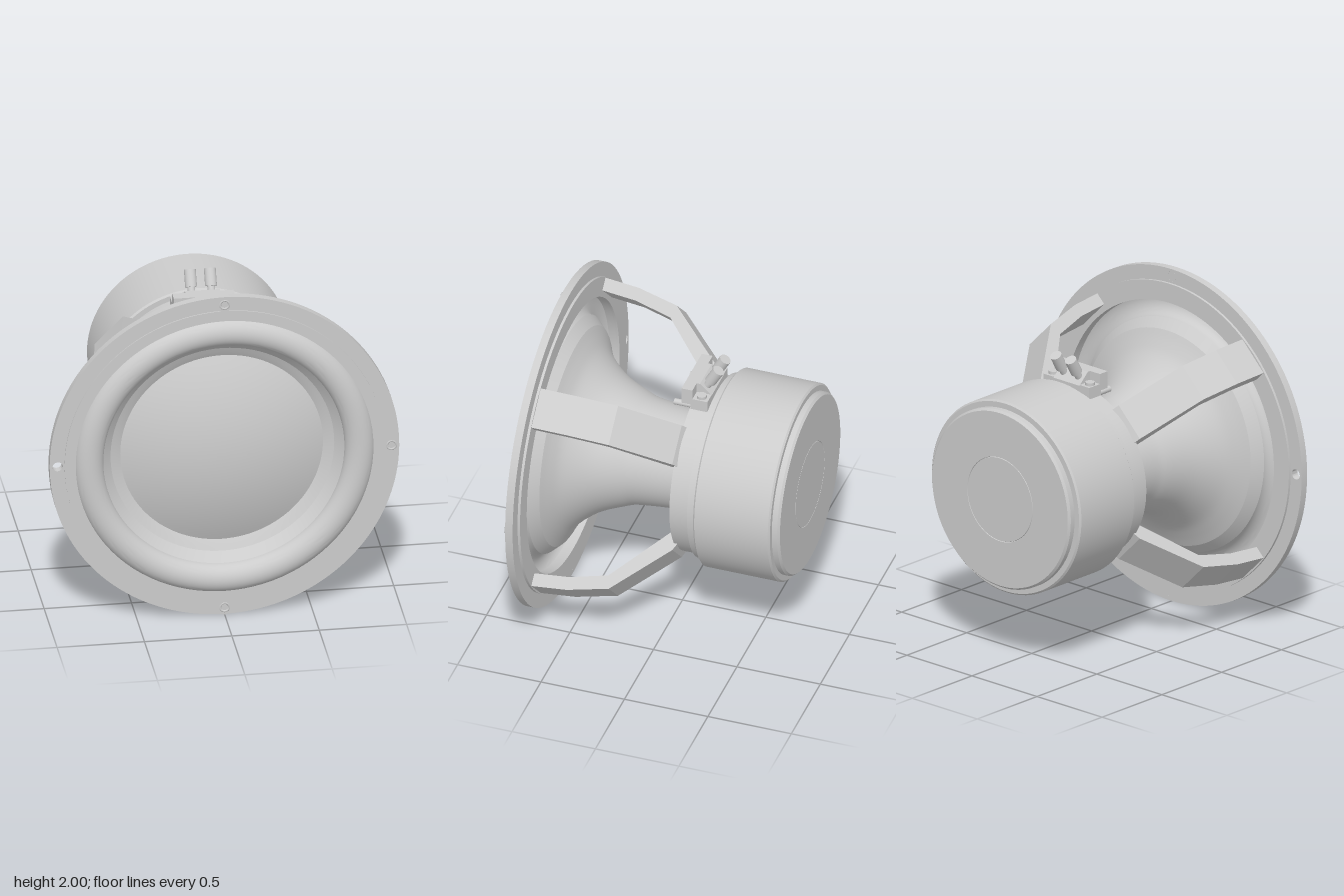
import * as THREE from 'three';
import { toCreasedNormals } from 'three/addons/utils/BufferGeometryUtils.js';

const grey = new THREE.MeshStandardMaterial({ color: 0xcccccc });
const greyThin = new THREE.MeshStandardMaterial({ color: 0xcccccc, side: THREE.DoubleSide });

export function createModel() {
  const model = new THREE.Group();
  model.name = 'speakerDriver';
  const body = new THREE.Group(); // the driver's axis runs along z
  body.name = 'driver';
  body.position.y = 1;
  model.add(body);

  const add = (name, geometry, material = grey) => {
    const mesh = new THREE.Mesh(geometry, material);
    mesh.name = name;
    body.add(mesh);
    return mesh;
  };
  // Turned part from [radius, z] points, listed from back to front
  const turned = (name, points, material) => {
    const g = new THREE.LatheGeometry(points.map(([r, z]) => new THREE.Vector2(r, z)), 96);
    g.rotateX(Math.PI / 2);
    return add(name, toCreasedNormals(g, 0.5), material);
  };
  // Closed ring with a rectangular section
  const ring = (name, r0, r1, z0, z1) =>
    turned(name, [[r0, z0], [r1, z0], [r1, z1], [r0, z1], [r0, z0]]);
  // Solid extruded along x from a [z, y] outline
  const sideways = (name, outline, width) => {
    const shape = new THREE.Shape(outline.map(([z, y]) => new THREE.Vector2(-z, y)));
    const g = new THREE.ExtrudeGeometry(shape, { depth: width, bevelEnabled: false });
    g.translate(0, 0, -width / 2).rotateY(Math.PI / 2);
    return add(name, g);
  };

  // Mounting flange with four bolt holes
  const flangeShape = new THREE.Shape().absarc(0, 0, 1, 0, Math.PI * 2);
  flangeShape.holes.push(new THREE.Path().absarc(0, 0, 0.8, 0, Math.PI * 2, true));
  for (let i = 0; i < 4; i++) {
    const a = i * Math.PI / 2;
    flangeShape.holes.push(new THREE.Path()
      .absarc(0.955 * Math.cos(a), 0.955 * Math.sin(a), 0.03, 0, Math.PI * 2, true));
  }
  const flange = new THREE.ExtrudeGeometry(flangeShape, { depth: 0.045, bevelEnabled: false, curveSegments: 64 });
  add('flange', toCreasedNormals(flange.translate(0, 0, 0.67), 0.5));
  ring('flangeRearRing', 0.8, 0.915, 0.655, 0.672);
  ring('gasket', 0.84, 0.915, 0.71, 0.722);

  // Bolts in three holes, the fourth (-x) stays open
  for (const a of [0, Math.PI / 2, -Math.PI / 2]) {
    const x = 0.955 * Math.cos(a), y = 0.955 * Math.sin(a);
    const shank = new THREE.CylinderGeometry(0.03, 0.03, 0.05, 20).rotateX(Math.PI / 2);
    add('bolt', shank).position.set(x, y, 0.695);
    const rim = new THREE.TorusGeometry(0.026, 0.007, 8, 20);
    add('boltRim', rim).position.set(x, y, 0.719);
  }
  for (let i = 0; i < 4; i++) {
    const a = i * Math.PI / 2;
    const lip = new THREE.RingGeometry(0.03, 0.045, 28);
    add('boltHoleLip', lip).position.set(0.955 * Math.cos(a), 0.955 * Math.sin(a), 0.7235);
  }

  // Half-roll surround
  const roll = [];
  for (let i = 0; i <= 24; i++) {
    const t = i / 24 * Math.PI;
    roll.push([0.775 + 0.085 * Math.cos(t), 0.69 + 0.075 * Math.sin(t)]);
  }
  turned('surround', roll, greyThin);

  // Flared cone, its neck and the domed dust cap
  const flare = new THREE.SplineCurve([[0.29, -0.06], [0.292, 0.02], [0.31, 0.2], [0.335, 0.28],
    [0.385, 0.4], [0.44, 0.485], [0.51, 0.56], [0.58, 0.605], [0.64, 0.635]]
    .map(p => new THREE.Vector2(...p)));
  turned('cone', flare.getPoints(32).map(p => [p.x, p.y]), greyThin);
  turned('coneEdge', [[0.64, 0.635], [0.692, 0.69]], greyThin);
  turned('coneNeck', [[0, -0.11], [0.265, -0.11], [0.265, -0.04], [0.29, -0.04], [0.29, -0.03]], greyThin);
  const dome = [];
  for (let i = 0; i <= 20; i++) {
    const r = 0.58 * (1 - i / 20);
    dome.push([r, 0.605 + 0.125 * (1 - (r / 0.58) ** 2)]);
  }
  turned('dustCap', dome, greyThin);

  // Four bent basket legs on the diagonals
  const legProfile = [[0.905, 0.67], [0.885, 0.45], [0.83, 0.21], [0.54, -0.1], [0.5, -0.12],
    [0.4, -0.12], [0.43, -0.08], [0.755, 0.23], [0.81, 0.45], [0.83, 0.67]];
  const legWidth = 0.23;
  for (let i = 0; i < 4; i++) {
    const shape = new THREE.Shape(legProfile.map(p => new THREE.Vector2(...p)));
    const g = new THREE.ExtrudeGeometry(shape, { depth: legWidth, bevelEnabled: false });
    g.rotateX(Math.PI / 2).translate(0, legWidth / 2, 0).rotateZ(Math.PI / 4 + i * Math.PI / 2);
    add('basketLeg', g);
  }

  // Motor: basket hub, front plate, magnet and back plate
  turned('basketHub', [[0, -0.215], [0.513, -0.215], [0.513, -0.1], [0, -0.1]]);
  turned('frontPlate', [[0, -0.265], [0.535, -0.265], [0.535, -0.213], [0, -0.213]]);
  turned('magnet', [[0, -0.72], [0.565, -0.72], [0.575, -0.71], [0.575, -0.27], [0.565, -0.26], [0, -0.26]]);
  turned('backPlate', [[0, -0.765], [0.248, -0.765], [0.25, -0.76], [0.252, -0.765],
    [0.52, -0.765], [0.532, -0.752], [0.532, -0.715], [0, -0.715]]);

  // Terminal block on top of the hub
  sideways('terminalBlock', [[-0.055, 0.53], [-0.21, 0.49], [-0.21, 0.56], [-0.14, 0.625], [-0.055, 0.625]].reverse(), 0.2);
  sideways('terminalFront', [[-0.055, 0.525], [-0.055, 0.625], [-0.12, 0.625], [-0.12, 0.525]], 0.35);
  for (const s of [-1, 1]) {
    const foot = new THREE.BoxGeometry(0.075, 0.07, 0.1);
    add('terminalFoot', foot).position.set(s * 0.1375, 0.53, -0.16);
    const screw = new THREE.CylinderGeometry(0.028, 0.028, 0.02, 20);
    add('terminalScrew', screw).position.set(s * 0.14, 0.572, -0.165);
    const pin = new THREE.CylinderGeometry(0.018, 0.018, 0.12, 16).rotateX(Math.PI / 2);
    add('terminalPin', pin).position.set(s * 0.135, 0.495, -0.06);

    // Binding post, tilted up and back
    const post = new THREE.Group();
    post.name = 'bindingPost';
    post.position.set(s * 0.057, 0.57, -0.155);
    post.rotation.x = -Math.PI / 6;
    const stem = new THREE.Mesh(new THREE.CylinderGeometry(0.022, 0.022, 0.08, 16), grey);
    stem.name = 'postStem';
    stem.position.y = 0.04;
    const cap = new THREE.Mesh(new THREE.CylinderGeometry(0.034, 0.034, 0.1, 20), grey);
    cap.name = 'postCap';
    cap.position.y = 0.115;
    post.add(stem, cap);
    body.add(post);
  }
  return model;
}
